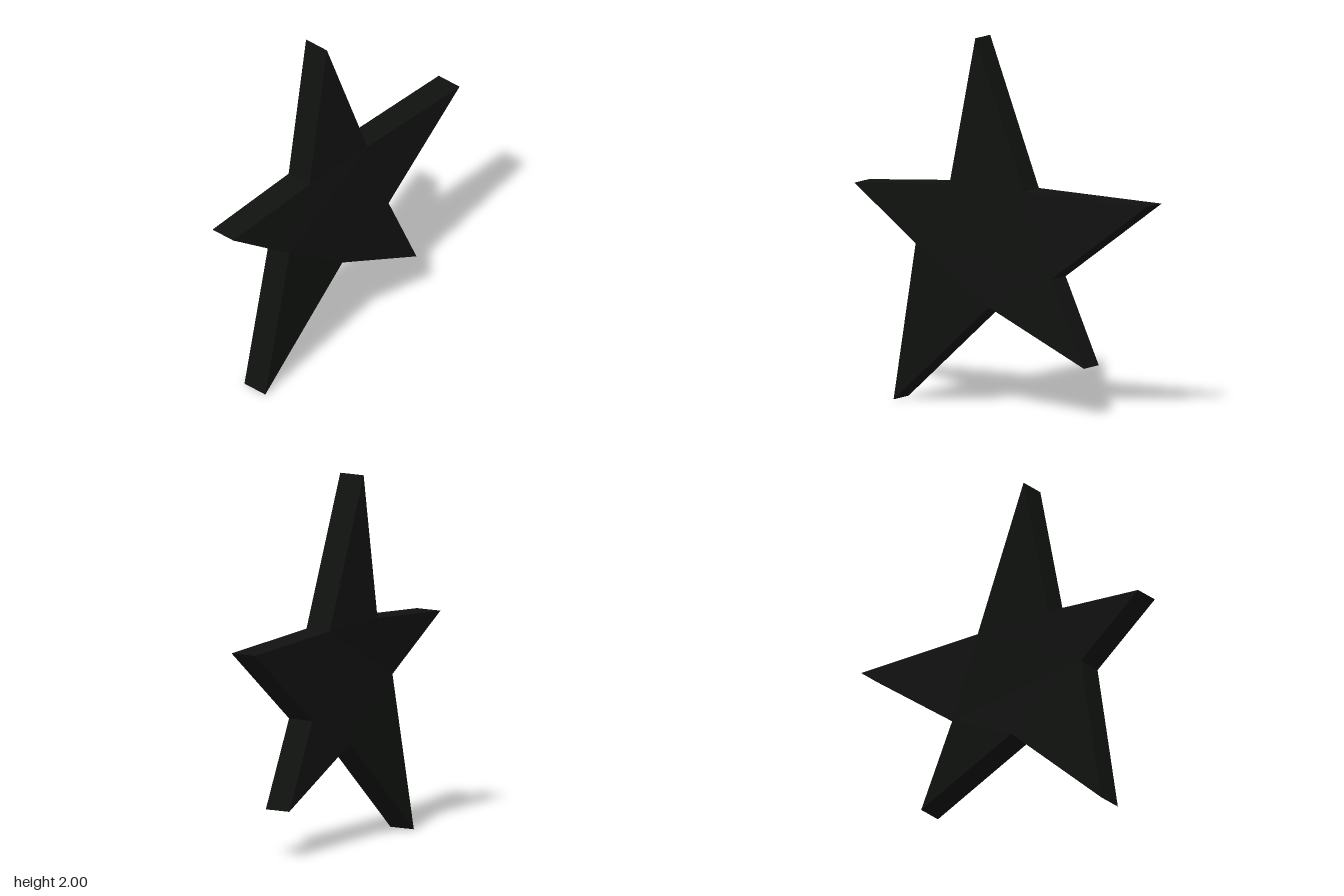
import * as THREE from 'three';

const THICKNESS = 0.15;

// Outline corners, clockwise from the top tip: x, y and the height of the front face
const CORNERS = [
  [-0.16, 2.0, 0.055],
  [0.155, 1.195, 0.065],
  [0.92, 1.17, 0.043],
  [0.325, 0.73, 0.065],
  [0.54, 0.265, 0.073],
  [-0.06, 0.55, 0.077],
  [-0.67, 0.0, 0.068],
  [-0.51, 0.865, 0.1],
  [-0.922, 1.155, 0.063],
  [-0.315, 1.2, 0.068],
];

// Front height of the corner lying at (x, y)
function frontHeight(x, y) {
  const corner = CORNERS.find(([cx, cy]) => Math.hypot(cx - x, cy - y) < 0.001);
  return corner[2];
}

export function createModel() {
  const group = new THREE.Group();
  group.name = 'star';

  // Flat plate in the shape of an uneven star
  const outline = new THREE.Shape(CORNERS.map(([x, y]) => new THREE.Vector2(x, y)));
  const geometry = new THREE.ExtrudeGeometry(outline, { depth: THICKNESS, bevelEnabled: false });

  // Warp the plate slightly by shifting each corner in depth
  const pos = geometry.attributes.position;
  for (let i = 0; i < pos.count; i++) {
    const shift = frontHeight(pos.getX(i), pos.getY(i)) - THICKNESS;
    pos.setZ(i, pos.getZ(i) + shift);
  }
  geometry.computeVertexNormals();

  const material = new THREE.MeshStandardMaterial({ color: 0x101210, flatShading: true });
  const plate = new THREE.Mesh(geometry, material);
  plate.name = 'starPlate';
  group.add(plate);
  return group;
}
